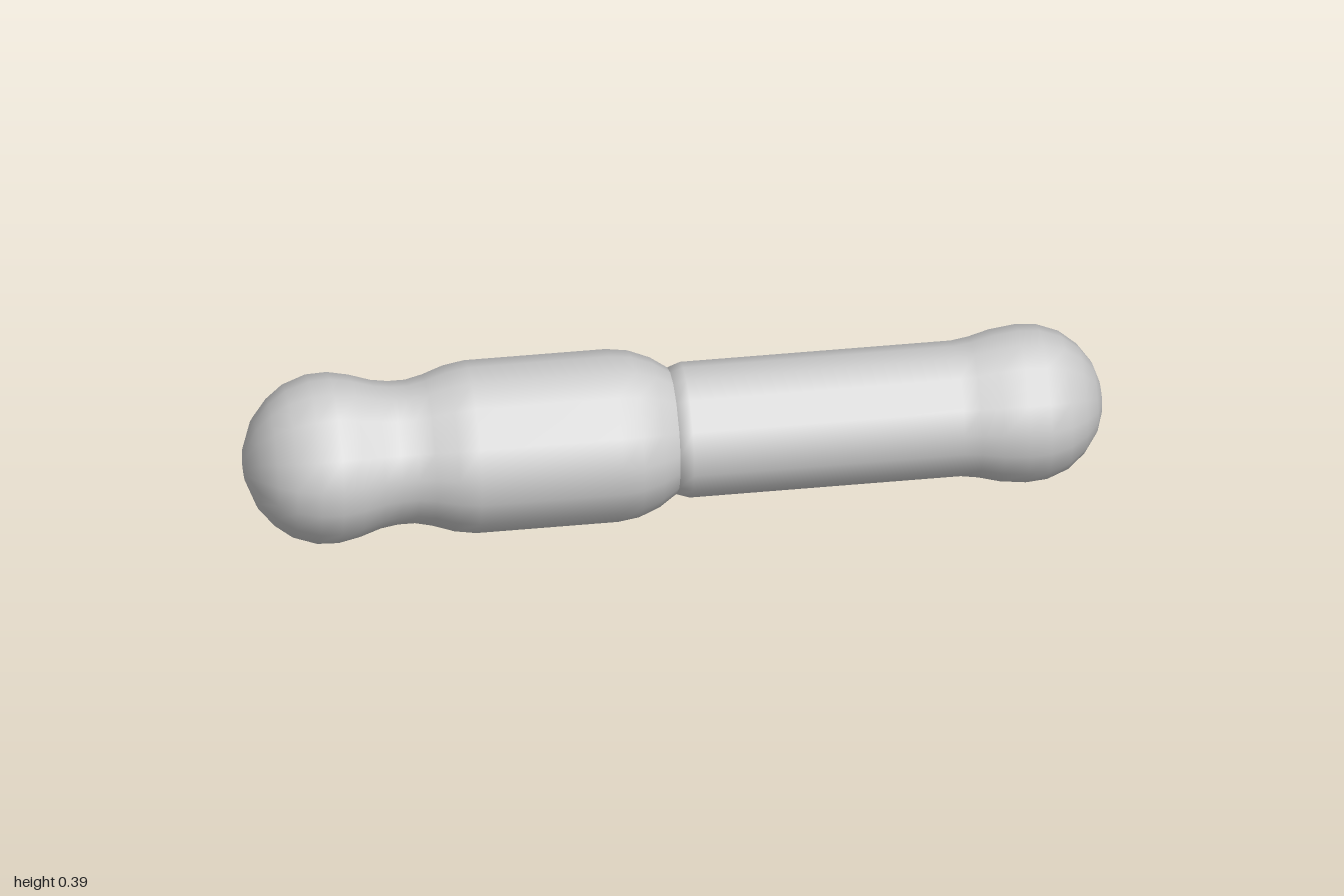
import * as THREE from 'three';

const SIDES = 16;
const CENTRE_Y = 0.198;
// Corner angles in one quadrant: slightly wider flats on the diagonals
const CORNERS = [9.5, 31, 59, 80.5];

// Turned body along x from [x, radius] pairs, left to right
function turned(name, profile, material) {
  const points = profile.map(([x, r]) => new THREE.Vector2(r, x));
  const geo = new THREE.LatheGeometry(points, SIDES, Math.PI / 16);
  const pos = geo.attributes.position;
  for (let i = 0; i <= SIDES; i++) {
    const a = THREE.MathUtils.degToRad(CORNERS[i % 4] + 90 * Math.floor(i / 4));
    points.forEach((p, j) => {
      pos.setXYZ(i * points.length + j, p.x * Math.sin(a), p.y, p.x * Math.cos(a));
    });
  }
  geo.rotateZ(-Math.PI / 2);
  const mesh = new THREE.Mesh(geo, material);
  mesh.name = name;
  mesh.position.y = CENTRE_Y;
  return mesh;
}

export function createModel() {
  const group = new THREE.Group();
  group.name = 'jointedRod';
  const grey = new THREE.MeshStandardMaterial({ color: 0xcccccc });

  // Thick sleeve with a rounded knob and a narrow neck
  group.add(turned('sleeve', [
    [-1, 0], [-0.995, 0.04], [-0.97, 0.105], [-0.935, 0.147], [-0.895, 0.177],
    [-0.84, 0.196], [-0.79, 0.198], [-0.74, 0.188], [-0.69, 0.172], [-0.65, 0.166],
    [-0.61, 0.166], [-0.57, 0.175], [-0.52, 0.192], [-0.47, 0.2], [-0.14, 0.2],
    [-0.09, 0.193], [-0.04, 0.173], [0, 0.146],
  ], grey));

  // Slimmer rod ending in a ball, seated in the sleeve
  group.add(turned('rod', [
    [-0.01, 0.12], [0, 0.147], [0.03, 0.157], [0.66, 0.157], [0.7, 0.163],
    [0.75, 0.176], [0.81, 0.183], [0.86, 0.179], [0.91, 0.16], [0.95, 0.127],
    [0.98, 0.085], [0.995, 0.04], [1, 0],
  ], grey));

  return group;
}
